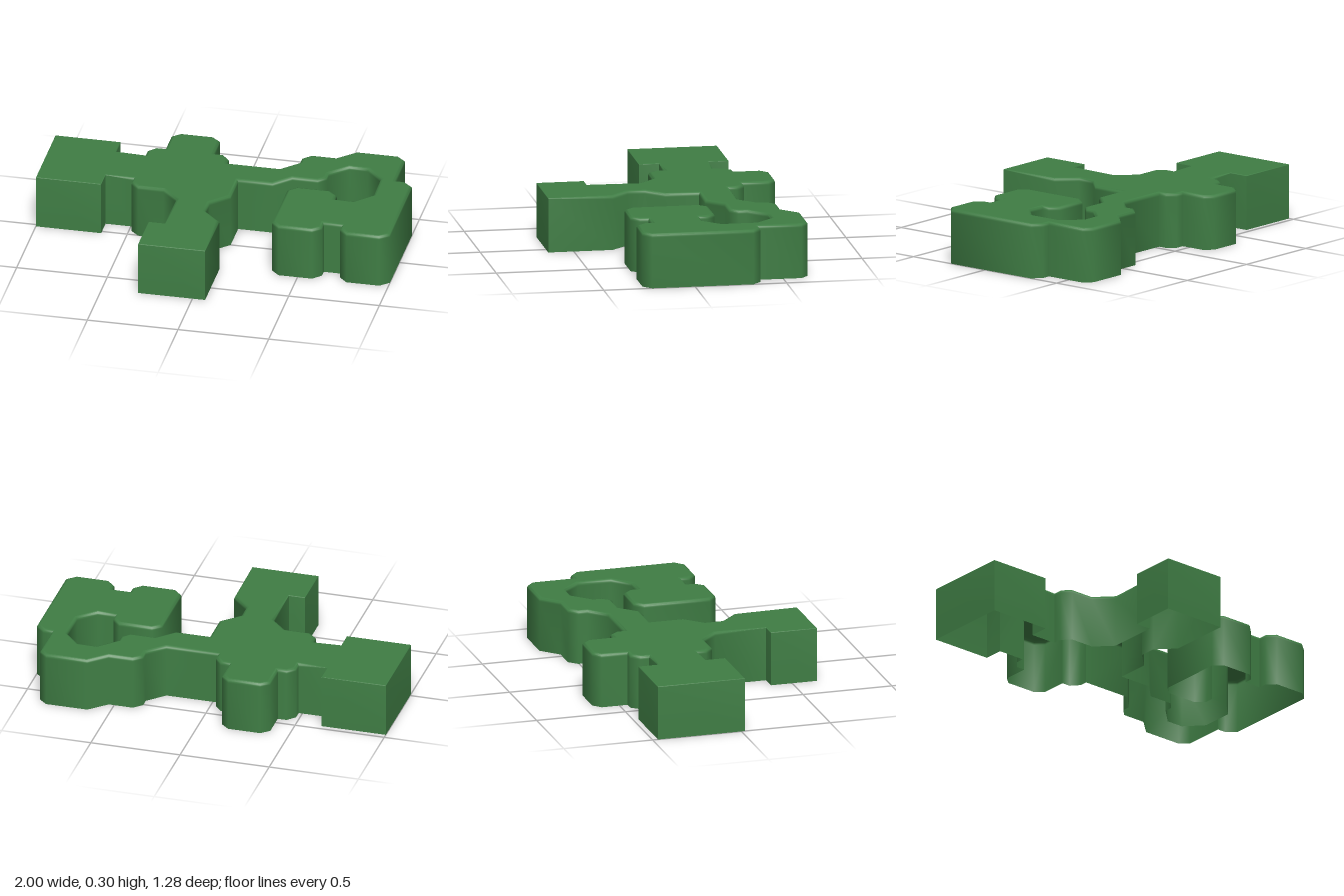
import * as THREE from 'three';
import { toCreasedNormals } from 'three/addons/utils/BufferGeometryUtils.js';

const HEIGHT = 0.3;

// Floor plan as x, z pairs, clockwise seen from above
const PLAN = [
  // left room and rear bay of the hall
  -1, -.47, -.64, -.47, -.64, -.36, -.48, -.36, -.48, -.41, -.44, -.455, -.39, -.455, -.39, -.6, -.345, -.64,
  -.165, -.64, -.12, -.6, -.12, -.455, -.07, -.455, -.03, -.41, -.03, -.365,
  // corridor and outside of the curved wing
  .26, -.365, .35, -.455, .35, -.505, .395, -.55, .53, -.55, .625, -.64, .855, -.64, .9, -.6, .9, -.365,
  .95, -.365, 1, -.32, 1, .235, .95, .28, .77, .28, .725, .235, .725, .19, .625, .19, .625, .235, .58, .28,
  .395, .28, .35, .235,
  // inside of the curved wing
  .35, -.135, .395, -.18, .58, -.18, .625, -.135, .625, -.09, .725, -.09, .815, -.18, .815, -.365, .725, -.46,
  .625, -.46, .53, -.365, .53, -.32, .49, -.275, .35, -.275, .26, -.185, .07, -.185,
  // front room and front side of the hall
  .07, 0, -.025, .095, -.025, .19, .07, .285, .07, .64, -.3, .64, -.3, .38, -.21, .38, -.21, .095, -.3, .005,
  -.44, .005, -.485, -.04, -.485, -.09, -.64, -.09, -.64, .02, -1, .02,
];

const points = [];
for (let i = 0; i < PLAN.length; i += 2) points.push(new THREE.Vector2(PLAN[i], PLAN[i + 1]));
const count = points.length;

// The two square rooms have nearly sharp top edges
const bevelAt = (p) => (p.x < -0.6 || p.y > 0.3 ? 0.004 : 0.016);

// Direction that moves a corner inward by one unit from both of its walls
const inward = points.map((p, i) => {
  const normal = (a, b) => new THREE.Vector2(b.y - a.y, a.x - b.x).normalize();
  const n1 = normal(points[(i + count - 1) % count], p);
  const n2 = normal(p, points[(i + 1) % count]);
  return n1.clone().add(n2).multiplyScalar(-1 / (1 + n1.dot(n2)));
});

// One ring of the shell: inset and drop are fractions of the bevel size
function ring(inset, drop) {
  return points.map((p, i) => {
    const b = bevelAt(p);
    const q = p.clone().addScaledVector(inward[i], inset * b);
    return new THREE.Vector3(q.x, drop === null ? 0 : HEIGHT - drop * b, q.y);
  });
}

// Skin between consecutive rings, open at both ends
function loft(rings) {
  const vertices = rings.flat().flatMap((v) => [v.x, v.y, v.z]);
  const index = [];
  for (let r = 0; r < rings.length - 1; r++) {
    for (let i = 0; i < count; i++) {
      const j = (i + 1) % count;
      const a = r * count + i, b = r * count + j;
      const d = a + count, c = b + count;
      index.push(a, d, c, a, c, b);
    }
  }
  const geometry = new THREE.BufferGeometry();
  geometry.setAttribute('position', new THREE.Float32BufferAttribute(vertices, 3));
  geometry.setIndex(index);
  return toCreasedNormals(geometry, Math.PI / 3);
}

export function createModel() {
  const model = new THREE.Group();
  model.name = 'roomComplex';
  const material = new THREE.MeshStandardMaterial({ color: 0x3f7d44, side: THREE.DoubleSide });

  // Walls with a rounded upper edge, open underneath
  const rings = [ring(0, null), ring(0, 1.3)];
  const steps = 3;
  for (let s = 0; s <= steps; s++) {
    const t = (s / steps) * Math.PI / 2;
    rings.push(ring(1 - Math.cos(t), 1 - Math.sin(t)));
  }
  const walls = new THREE.Mesh(loft(rings), material);
  walls.name = 'walls';
  model.add(walls);

  // Flat roof inside the rounded edge
  const outline = ring(1, 0).map((v) => new THREE.Vector2(v.x, -v.z));
  const roofGeometry = new THREE.ShapeGeometry(new THREE.Shape(outline));
  roofGeometry.rotateX(-Math.PI / 2);
  const roof = new THREE.Mesh(roofGeometry, material);
  roof.position.y = HEIGHT;
  roof.name = 'roof';
  model.add(roof);

  return model;
}
